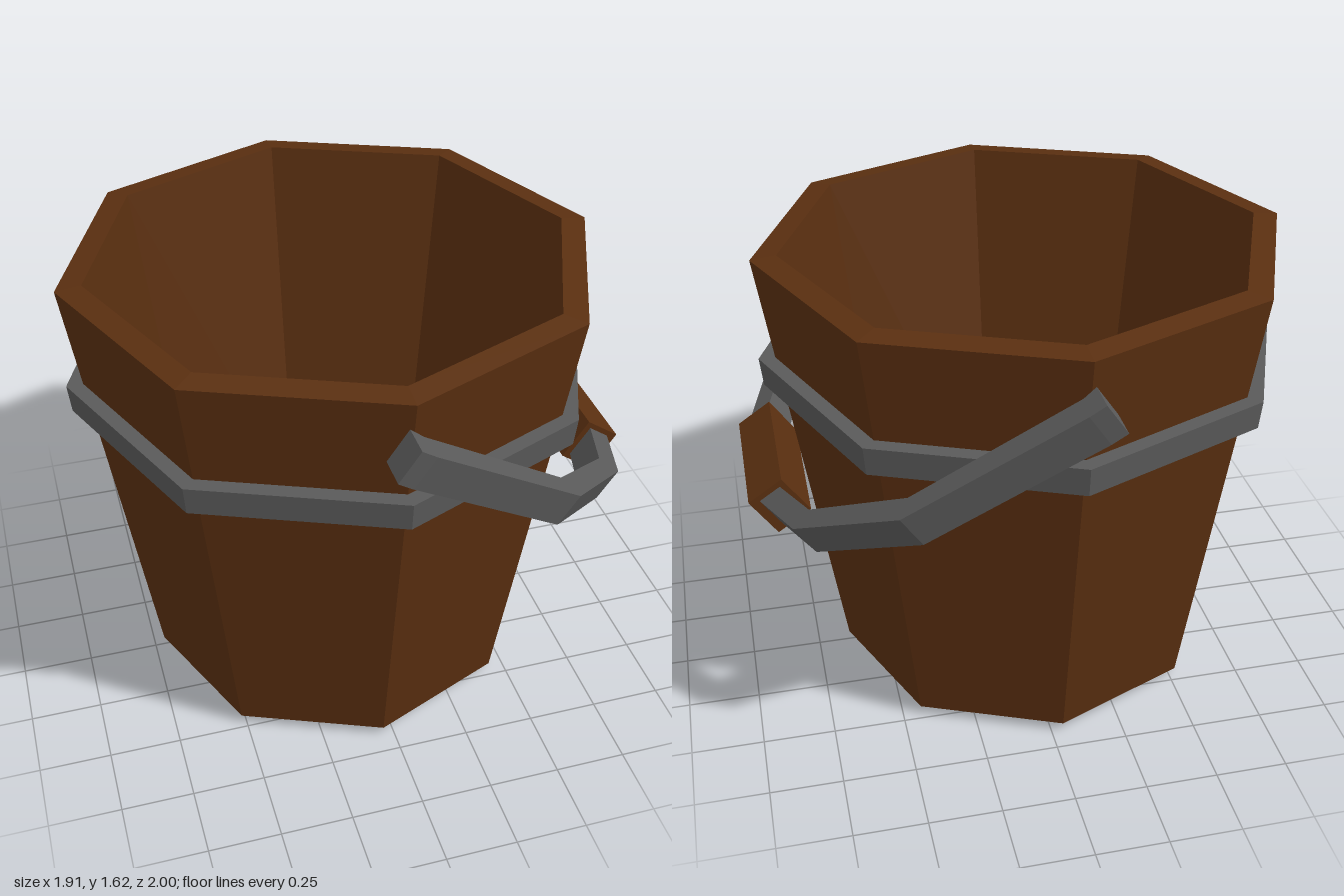
import * as THREE from 'three';

export function createModel() {
  const model = new THREE.Group();
  model.name = 'bucket';

  const wood = new THREE.MeshStandardMaterial({ color: 0x5a2f10, flatShading: true });
  wood.name = 'brown wood';
  const metal = new THREE.MeshStandardMaterial({ color: 0x5a5a5a, flatShading: true });
  metal.name = 'grey metal';

  const add = (parent, name, geometry, material) => {
    const mesh = new THREE.Mesh(geometry, material);
    mesh.name = name;
    parent.add(mesh);
    return mesh;
  };
  // Eight-sided turned part from [radius, height] pairs
  const octagonal = (profile) =>
    new THREE.LatheGeometry(profile.map(([r, y]) => new THREE.Vector2(r, y)), 8);

  // Tapered body: shallow pointed base, outer wall, rim, inner wall, floor
  const body = add(model, 'bucketBody', octagonal([
    [0, 0], [0.675, 0.035], [0.907, 1.61], [0.82, 1.62], [0.607, 0.16], [0, 0.16],
  ]), wood);

  // Hoop around the body
  const hoop = add(model, 'hoop', octagonal([
    [0.82, 1.15], [0.9, 1.15], [0.91, 1.25], [0.82, 1.25],
  ]), metal);
  body.position.x = hoop.position.x = -0.04;

  // Swinging handle, drawn flat and then tilted down to the side
  const handle = new THREE.Group();
  handle.name = 'handle';
  handle.position.set(-0.088, 1.468, 0);
  handle.rotation.z = -0.598;
  model.add(handle);

  // Half outlines [reach, side], mirrored to close the bail
  const outer = [[0, 1], [0.06, 0.995], [0.705, 0.86], [1.07, 0.54], [1.185, 0.25]];
  const inner = [[1.1, 0.25], [1.0, 0.5], [0.66, 0.785], [0.05, 0.9], [0, 0.89]];
  const mirror = (points) => points.map(([s, z]) => [s, -z]).reverse();
  const outline = [...outer, ...mirror(outer), ...mirror(inner), ...inner];
  const shape = new THREE.Shape(outline.map(([s, z]) => new THREE.Vector2(s, z)));
  const bail = new THREE.ExtrudeGeometry(shape, { depth: 0.122, bevelEnabled: false });
  bail.translate(0, 0, -0.061).rotateX(-Math.PI / 2);
  add(handle, 'bail', bail, metal);

  // Wooden grip
  add(handle, 'grip', new THREE.BoxGeometry(0.14, 0.16, 0.53), wood).position.x = 1.142;

  return model;
}
